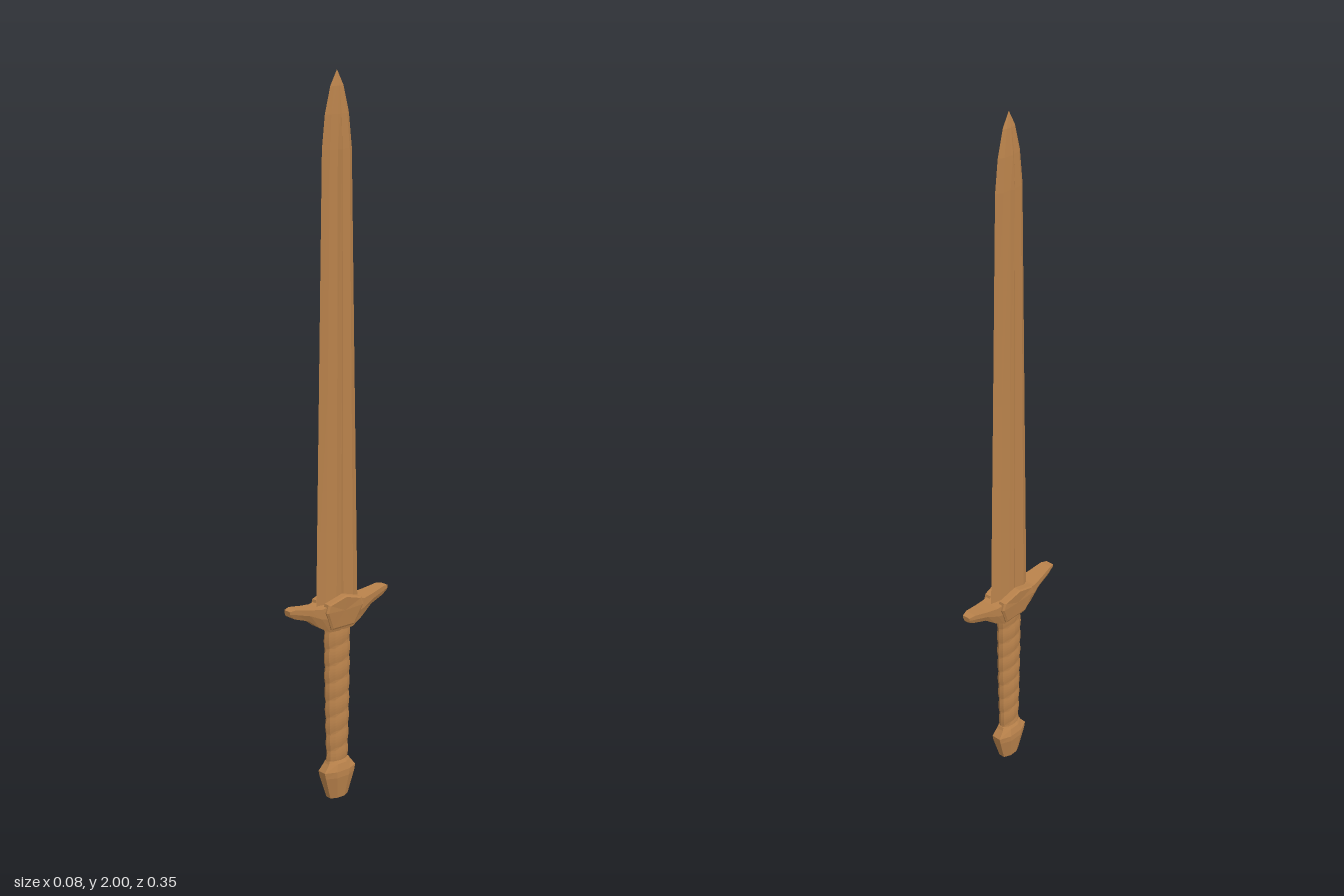
import * as THREE from 'three';

const material = new THREE.MeshStandardMaterial({ color: 0xb9824b, flatShading: true, roughness: 0.8 });

// Skin a list of equal-length rings of Vector3 and close both ends with fans.
function loft(name, rings) {
  const pos = [];
  const tri = (a, b, c) => pos.push(...a.toArray(), ...b.toArray(), ...c.toArray());
  const n = rings[0].length;
  for (let i = 0; i < rings.length - 1; i++) {
    for (let j = 0; j < n; j++) {
      const k = (j + 1) % n;
      const a = rings[i][j], b = rings[i][k], c = rings[i + 1][j], d = rings[i + 1][k];
      tri(a, c, b);
      tri(b, c, d);
    }
  }
  const first = rings[0], last = rings[rings.length - 1];
  const middle = (ring) => ring.reduce((s, p) => s.add(p), new THREE.Vector3()).divideScalar(n);
  const m0 = middle(first), m1 = middle(last);
  for (let j = 0; j < n; j++) {
    const k = (j + 1) % n;
    tri(m0, first[j], first[k]);
    tri(m1, last[k], last[j]);
  }
  const geometry = new THREE.BufferGeometry();
  geometry.setAttribute('position', new THREE.Float32BufferAttribute(pos, 3));
  geometry.computeVertexNormals();
  const mesh = new THREE.Mesh(geometry, material);
  mesh.name = name;
  return mesh;
}

// Horizontal ring at height y from [x, z] pairs.
const level = (y, pts) => pts.map(([x, z]) => new THREE.Vector3(x, y, z));

// Bevelled blade with a narrow raised central ridge.
function blade() {
  const section = (y, w, t, ridge) => level(y, [
    [ridge, 0], [t, w * 0.16], [t * 0.9, w * 0.66], [0, w],
    [-t * 0.9, w * 0.66], [-t, w * 0.16], [-ridge, 0],
    [-t, -w * 0.16], [-t * 0.9, -w * 0.66], [0, -w],
    [t * 0.9, -w * 0.66], [t, -w * 0.16],
  ]);
  return loft('blade', [
    section(0.56, 0.073, 0.013, 0.02),
    section(1.2, 0.061, 0.013, 0.02),
    section(1.8, 0.05, 0.013, 0.02),
    section(1.89, 0.04, 0.011, 0.014),
    section(1.96, 0.022, 0.007, 0.008),
    section(2.0, 0.0005, 0.0003, 0.0004),
  ]);
}

// Crossguard swept along z: [z, top, bottom, half width].
function crossguard() {
  const half = [
    [0.04, 0.58, 0.498, 0.033], [0.075, 0.574, 0.518, 0.029],
    [0.11, 0.579, 0.545, 0.024], [0.155, 0.588, 0.56, 0.017], [0.173, 0.585, 0.57, 0.012],
  ];
  const stations = [
    ...half.map(([z, ...rest]) => [-z, ...rest]).reverse(),
    [0, 0.59, 0.496, 0.035],
    ...half,
  ];
  return loft('crossguard', stations.map(([z, top, bottom, w]) => [
    [w, top], [w * 0.95, (top + bottom) / 2], [w * 0.6, bottom],
    [-w * 0.6, bottom], [-w * 0.95, (top + bottom) / 2], [-w, top],
  ].map(([x, y]) => new THREE.Vector3(x, y, z))));
}

// Faceted shield-shaped boss on each broad face of the guard.
function guardBoss(side) {
  const outline = [[0, 0.602], [0.058, 0.584], [0.065, 0.562], [0.04, 0.506],
    [-0.04, 0.506], [-0.065, 0.562], [-0.058, 0.584]];
  const ring = (scale, depth) => outline.map(([z, y]) => {
    const lean = Math.min(1, (y - 0.506) / 0.055);
    return new THREE.Vector3(
      side * (depth + 0.01 * lean - 0.07 * Math.abs(z)),
      0.555 + (y - 0.555) * scale, z * scale);
  });
  const rings = [ring(1, 0.012), ring(1, 0.029), ring(0.9, 0.032)];
  return loft('guardBoss', side > 0 ? rings.reverse() : rings);
}

// Oval grip with a shallow wrap winding around it.
function grip() {
  const rings = [];
  const rows = 48, sides = 12, turns = 8;
  for (let i = 0; i <= rows; i++) {
    const t = i / rows;
    const pts = [];
    for (let j = 0; j < sides; j++) {
      const a = (j / sides) * Math.PI * 2;
      const phase = t * turns + j / sides;
      const bulge = 0.0025 * Math.abs(Math.sin(phase * Math.PI));
      const swell = 0.002 * Math.sin(t * Math.PI);
      pts.push([
        Math.cos(a) * (0.017 + 0.004 * t + bulge),
        Math.sin(a) * (0.033 + 0.008 * t + swell + bulge),
      ]);
    }
    rings.push(level(0.1 + 0.405 * t, pts));
  }
  return loft('grip', rings);
}

// Eight-sided tapering pommel.
function pommel() {
  const section = (y, w, d) => level(y, [
    [w, d * 0.4], [w * 0.5, d], [-w * 0.5, d], [-w, d * 0.4],
    [-w, -d * 0.4], [-w * 0.5, -d], [w * 0.5, -d], [w, -d * 0.4],
  ]);
  return loft('pommel', [
    section(0, 0.018, 0.031), section(0.065, 0.028, 0.051),
    section(0.083, 0.028, 0.055), section(0.104, 0.023, 0.038),
    section(0.112, 0.019, 0.034),
  ]);
}

export function createModel() {
  const sword = new THREE.Group();
  sword.name = 'sword';
  sword.add(blade(), crossguard(), guardBoss(1), guardBoss(-1), grip(), pommel());
  return sword;
}
